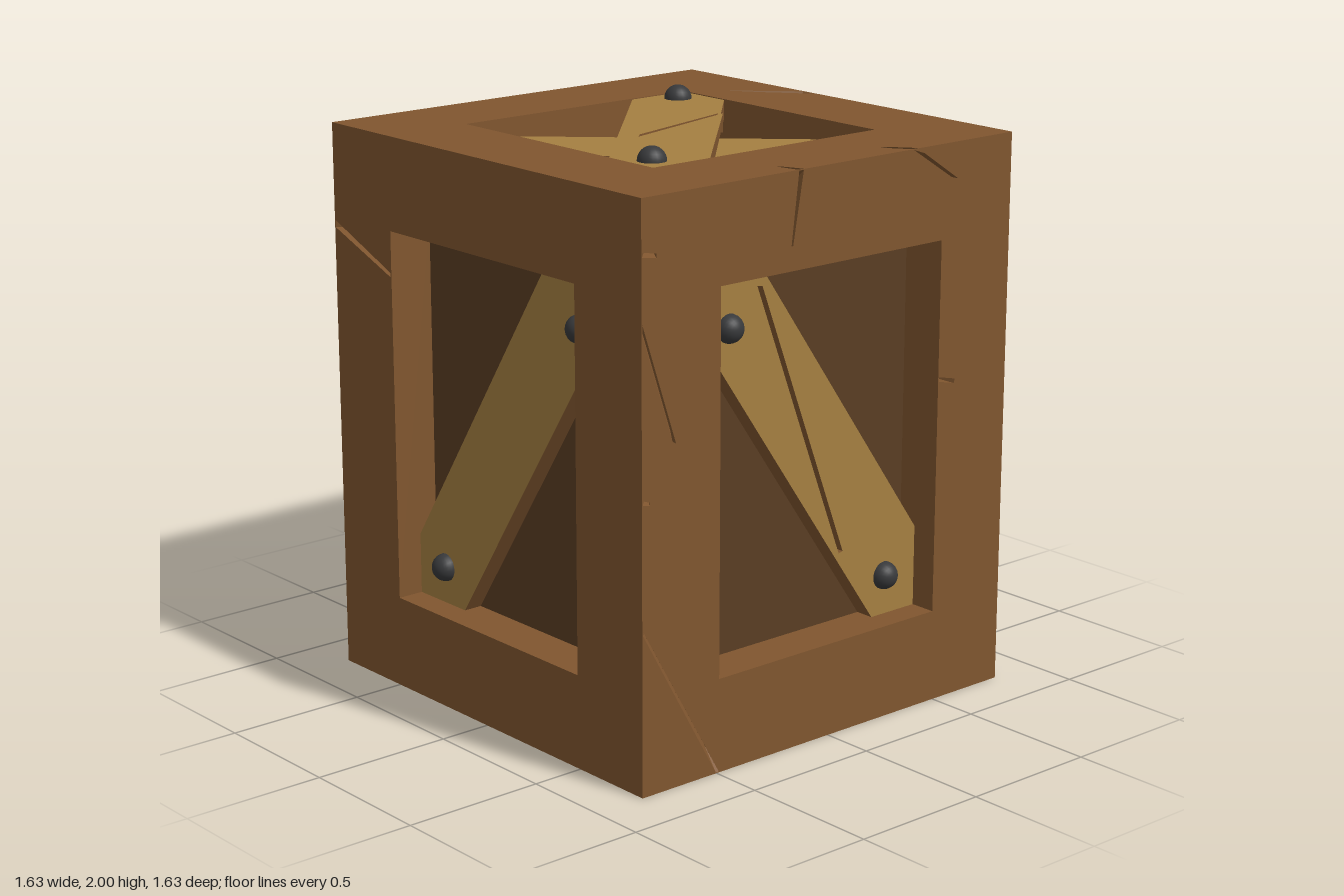
import * as THREE from 'three';

const W = 0.815, H = 1.955, OPEN = 0.49, RECESS = 0.163;
const mat = (color) => new THREE.MeshStandardMaterial({ color });
const frameMat = mat(0x80562f), plankMat = mat(0xa57f41), panelMat = mat(0x5a3d23), boltMat = mat(0x38393b);
const clamp = THREE.MathUtils.clamp;
const points = (list) => list.map(([x, y]) => new THREE.Vector2(x, y));
const rect = (x0, y0, x1, y1) => [[x0, y0], [x1, y0], [x1, y1], [x0, y1]];

// Extruded plate whose front lies at z = front
function plate(name, outline, holes, front, depth, materials) {
  const shape = new THREE.Shape(points(outline));
  holes.forEach((h) => shape.holes.push(new THREE.Path(points(h))));
  const geo = new THREE.ExtrudeGeometry(shape, { depth, bevelEnabled: false });
  geo.translate(0, 0, front - depth);
  const mesh = new THREE.Mesh(geo, materials);
  mesh.name = name;
  return mesh;
}

// Frame of one face: window, split-wood cracks, and mitred edges
function faceFrame([lo, hi], window, cracks, depth) {
  const inset = 0.003;
  const cuts = cracks.map((c) => c.map(([u, v]) =>
    [clamp(u, -W + inset, W - inset), clamp(v, lo + inset, hi - inset)]));
  const mesh = plate('frame', rect(-W, lo, W, hi), [window, ...cuts], 0, depth, frameMat);
  const p = mesh.geometry.attributes.position;
  for (let i = 0; i < p.count; i++) {
    if (p.getZ(i) > -depth / 2) continue;
    p.setX(i, clamp(p.getX(i), -W + depth, W - depth));
    p.setY(i, clamp(p.getY(i), lo + depth, hi - depth));
  }
  mesh.geometry.computeVertexNormals();
  return mesh;
}

// Domed bolt head
function bolt(u, v, z) {
  const mesh = new THREE.Mesh(
    new THREE.SphereGeometry(0.049, 20, 8, 0, Math.PI * 2, 0, Math.PI / 2), boltMat);
  mesh.rotation.x = Math.PI / 2;
  mesh.position.set(u, v, z);
  mesh.name = 'bolt';
  return mesh;
}

const fallingPlank = [[-0.49, 1.63], [-0.49, 1.44], [0.29, 0.325], [0.49, 0.325], [0.49, 0.61], [-0.23, 1.63]];
const risingPlank = [[-0.49, 0.325], [-0.24, 0.325], [0.49, 1.42], [0.49, 1.63], [0.23, 1.63], [-0.49, 0.54]];

const sides = [
  { name: 'frontFace', angle: 0, plank: fallingPlank,
    bolts: [[-0.37, 1.455], [0.345, 0.465]],
    plankCracks: [[[-0.25, 1.575], [-0.228, 1.572], [0.148, 0.595], [0.13, 0.59]]],
    cracks: [
      [[-0.162, 1.96], [-0.142, 1.96], [-0.185, 1.71], [-0.192, 1.71]],
      [[0.35, 1.96], [0.4, 1.935], [0.56, 1.83], [0.53, 1.838]],
      [[-0.82, 1.785], [-0.755, 1.775], [-0.755, 1.76], [-0.82, 1.77]],
      [[-0.82, 1.56], [-0.675, 1.155], [-0.69, 1.165], [-0.82, 1.525]],
      [[-0.82, 0.995], [-0.785, 0.985], [-0.785, 0.975], [-0.82, 0.98]],
      [[-0.82, 0.565], [-0.49, 0], [-0.503, 0], [-0.82, 0.55]],
      [[0.494, 1.158], [0.57, 1.14], [0.565, 1.125], [0.494, 1.142]],
    ] },
  { name: 'rightFace', angle: Math.PI / 2, plank: risingPlank,
    bolts: [[-0.295, 0.46], [0.315, 1.48]], plankCracks: [],
    cracks: [
      [[-0.712, 1.96], [-0.692, 1.96], [-0.7, 1.89], [-0.71, 1.89]],
      [[0.11, 1.96], [0.175, 1.96], [0.15, 1.93], [0.125, 1.935]],
      [[0.675, 1.95], [0.605, 1.68], [0.494, 1.41], [0.494, 1.45], [0.575, 1.69]],
      [[0.82, 0.885], [0.64, 0.815], [0.645, 0.802], [0.82, 0.865]],
      [[-0.625, 0.4], [-0.61, 0.4], [-0.632, 0.25], [-0.642, 0.26]],
    ] },
  { name: 'backFace', angle: Math.PI, plank: fallingPlank,
    bolts: [[-0.345, 1.51], [0.35, 0.45]], plankCracks: [],
    cracks: [[[0.19, 1.74], [0.205, 1.735], [0.222, 1.636], [0.205, 1.636]]] },
  { name: 'leftFace', angle: -Math.PI / 2, plank: risingPlank,
    bolts: [[-0.345, 0.455], [0.4, 1.45]], plankCracks: [],
    cracks: [[[-0.82, 1.615], [-0.82, 1.59], [-0.495, 1.47], [-0.495, 1.485]]] },
];

const topCracks = [
  [[0.6, 0.41], [0.62, 0.39], [0.82, 0.2], [0.82, 0.135], [0.7, 0.27]],
  [[-0.182, -0.735], [-0.17, -0.74], [-0.14, -0.82], [-0.165, -0.82]],
  [[0.282, -0.725], [0.31, -0.73], [0.375, -0.82], [0.345, -0.82]],
  [[0.8, -0.685], [0.82, -0.685], [0.82, -0.7], [0.8, -0.7]],
];

export function createModel() {
  const crate = new THREE.Group();
  crate.name = 'crate';
  const woodCut = [plankMat, frameMat];

  // Dark inner box that closes every recess
  const bottomDepth = 0.31, innerTop = H - RECESS;
  const inner = new THREE.Mesh(
    new THREE.BoxGeometry(2 * (W - RECESS), innerTop - bottomDepth, 2 * (W - RECESS)), panelMat);
  inner.position.y = (innerTop + bottomDepth) / 2;
  inner.name = 'innerPanels';
  crate.add(inner);

  // Four sides, each with one diagonal plank and two bolts
  for (const s of sides) {
    const face = new THREE.Group();
    face.name = s.name;
    face.add(faceFrame([0, H], rect(-OPEN, 0.325, OPEN, 1.63), s.cracks, RECESS));
    face.add(plate('diagonalPlank', s.plank, s.plankCracks, -0.095, RECESS - 0.095, woodCut));
    s.bolts.forEach(([u, v]) => face.add(bolt(u, v, -0.095)));
    face.rotation.y = s.angle;
    face.position.set(W * Math.sin(s.angle), 0, W * Math.cos(s.angle));
    crate.add(face);
  }

  // Top with two crossed planks
  const square = rect(-OPEN, -OPEN, OPEN, OPEN);
  const top = new THREE.Group();
  top.name = 'topFace';
  top.add(faceFrame([-W, W], square, topCracks, RECESS));
  top.add(plate('lowerCrossPlank',
    [[-0.49, 0.49], [-0.49, 0.25], [0.27, -0.49], [0.49, -0.49], [0.49, -0.24], [-0.27, 0.49]],
    [], -0.07, RECESS - 0.07, woodCut));
  top.add(plate('upperCrossPlank',
    [[-0.49, -0.49], [-0.25, -0.49], [0.49, 0.27], [0.49, 0.49], [0.25, 0.49], [-0.49, -0.27]],
    [[[-0.185, -0.055], [-0.15, -0.025], [0.3, 0.09], [0.315, 0.08]].reverse()], -0.003, 0.067, woodCut));
  top.add(bolt(-0.41, -0.39, -0.003), bolt(0.39, 0.405, -0.003));
  top.rotation.x = -Math.PI / 2;
  top.position.y = H;
  crate.add(top);

  // Bottom with a deep open recess
  const bottom = faceFrame([-W, W], square, [], bottomDepth);
  bottom.name = 'bottomFrame';
  bottom.rotation.x = Math.PI / 2;
  crate.add(bottom);

  return crate;
}
